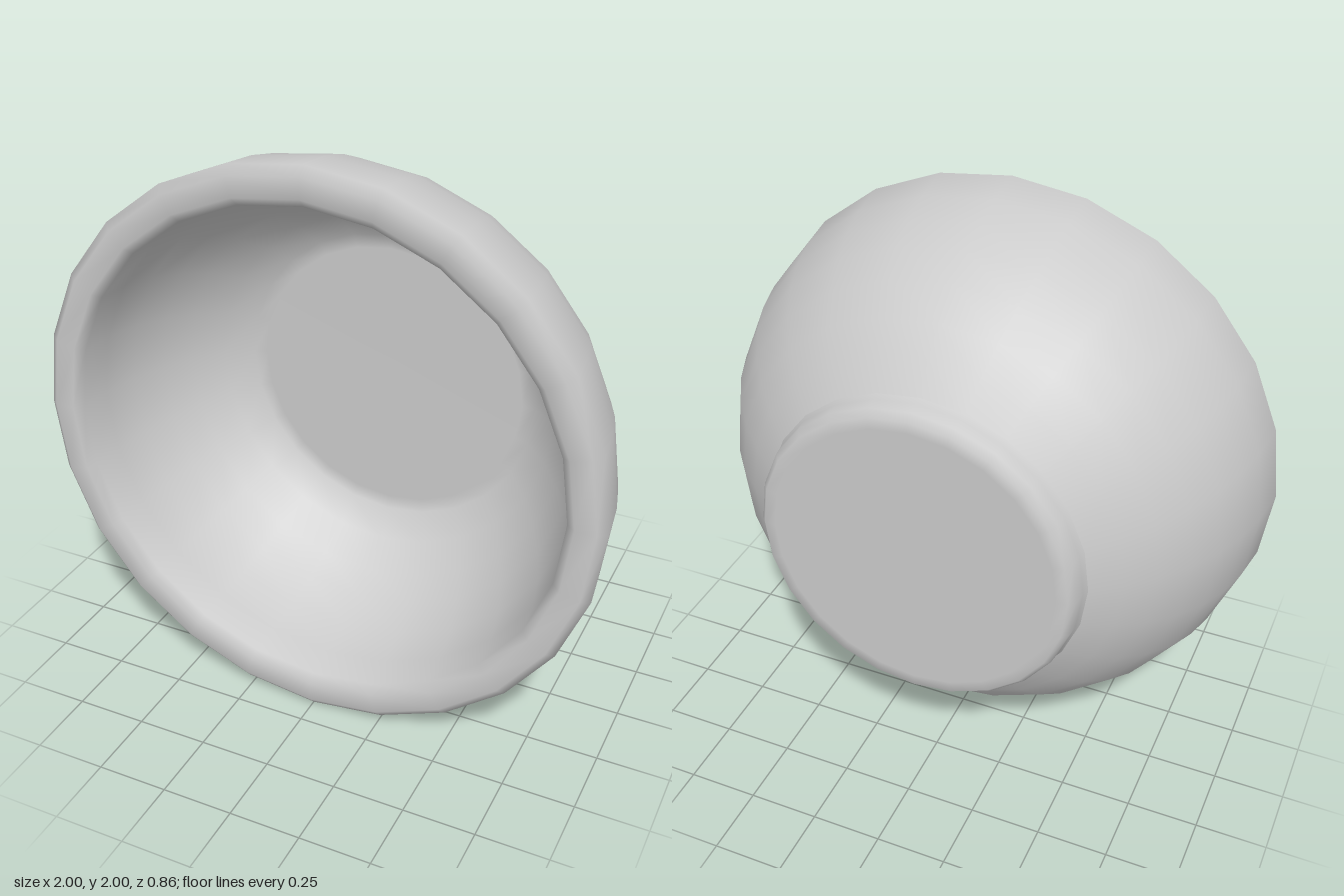
import * as THREE from 'three';

const SIDES = 24;

// Revolve a [radius, z] profile about the z axis, raised to rest on the ground
function revolve(name, profile, material) {
  const points = profile.map(([r, z]) => new THREE.Vector2(r, z));
  const geometry = new THREE.LatheGeometry(points, SIDES);
  geometry.rotateX(Math.PI / 2);
  geometry.translate(0, 1, 0);
  const mesh = new THREE.Mesh(geometry, material);
  mesh.name = name;
  return mesh;
}

export function createModel() {
  const model = new THREE.Group();
  model.name = 'bowl';
  const material = new THREE.MeshStandardMaterial({ color: 0xcccccc });

  // Thick shell: outer wall up to the rim, then the inner wall down to the floor
  const shell = [
    [0.54, -0.36], [0.57, -0.34], [0.67, -0.27], [0.76, -0.19], [0.84, -0.09],
    [0.905, 0.02], [0.95, 0.13], [0.98, 0.25], [1.0, 0.4],
    [0.97, 0.425], [0.9, 0.425], [0.87, 0.4],
    [0.86, 0.28], [0.83, 0.15], [0.78, 0.03], [0.72, -0.07], [0.64, -0.17],
    [0.55, -0.24], [0.5, -0.245], [0, -0.245],
  ];
  model.add(revolve('shell', shell, material));

  // Low solid foot with a softened lower edge
  const foot = [
    [0, -0.43], [0.5, -0.43], [0.54, -0.43],
    [0.56, -0.405], [0.565, -0.36], [0.575, -0.335],
  ];
  model.add(revolve('foot', foot, material));

  return model;
}
